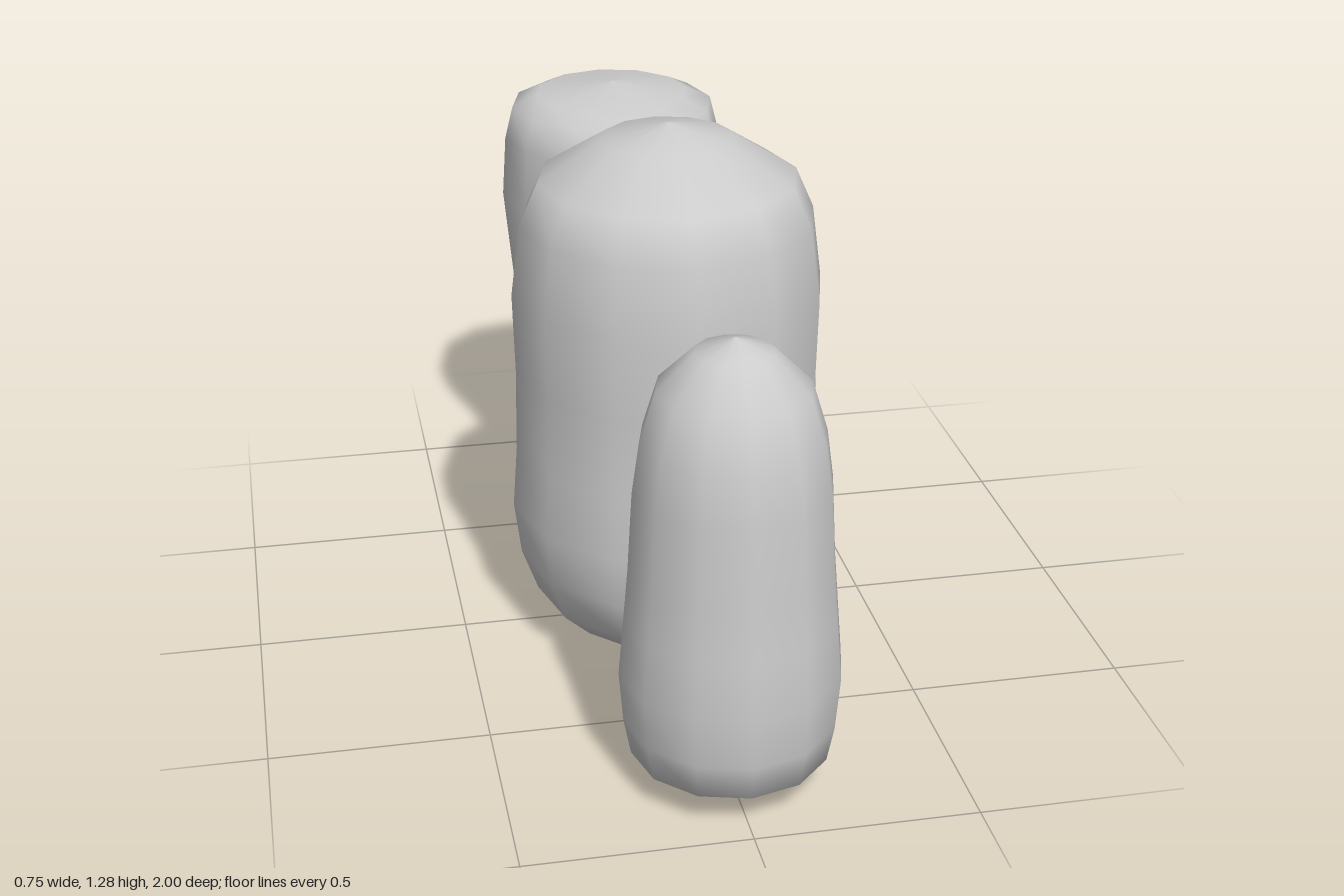
import * as THREE from 'three';

export function createModel() {
  const group = new THREE.Group();
  const material = new THREE.MeshStandardMaterial({ color: 0xcccccc });

  // Smooth twelve-sided stone turned from a [radius, height] profile
  function addStone(name, z, profile) {
    const points = profile.map(([r, y]) => new THREE.Vector2(r, y));
    const stone = new THREE.Mesh(new THREE.LatheGeometry(points, 12), material);
    stone.name = name;
    stone.position.z = z;
    group.add(stone);
  }

  // Small stone, wider at the foot
  addStone('frontStone', 0.753, [
    [0, 0.037], [0.16, 0.06], [0.22, 0.087], [0.236, 0.17], [0.246, 0.29],
    [0.235, 0.42], [0.225, 0.54], [0.215, 0.72], [0.2, 0.83],
    [0.165, 0.945], [0.085, 1.025], [0, 1.055],
  ]);

  // Large stone with a slight waist
  addStone('middleStone', 0.045, [
    [0, 0.003], [0.25, 0.045], [0.322, 0.115], [0.36, 0.22], [0.376, 0.35],
    [0.365, 0.5], [0.362, 0.7], [0.367, 0.89], [0.345, 1.06],
    [0.302, 1.157], [0.152, 1.25], [0, 1.285],
  ]);

  // Tapered stone, wider at the top
  addStone('backStone', -0.709, [
    [0, 0.005], [0.1, 0.04], [0.195, 0.135], [0.238, 0.28], [0.255, 0.44],
    [0.268, 0.64], [0.29, 0.87], [0.28, 1.02], [0.26, 1.1],
    [0.195, 1.13], [0, 1.157],
  ]);

  return group;
}
